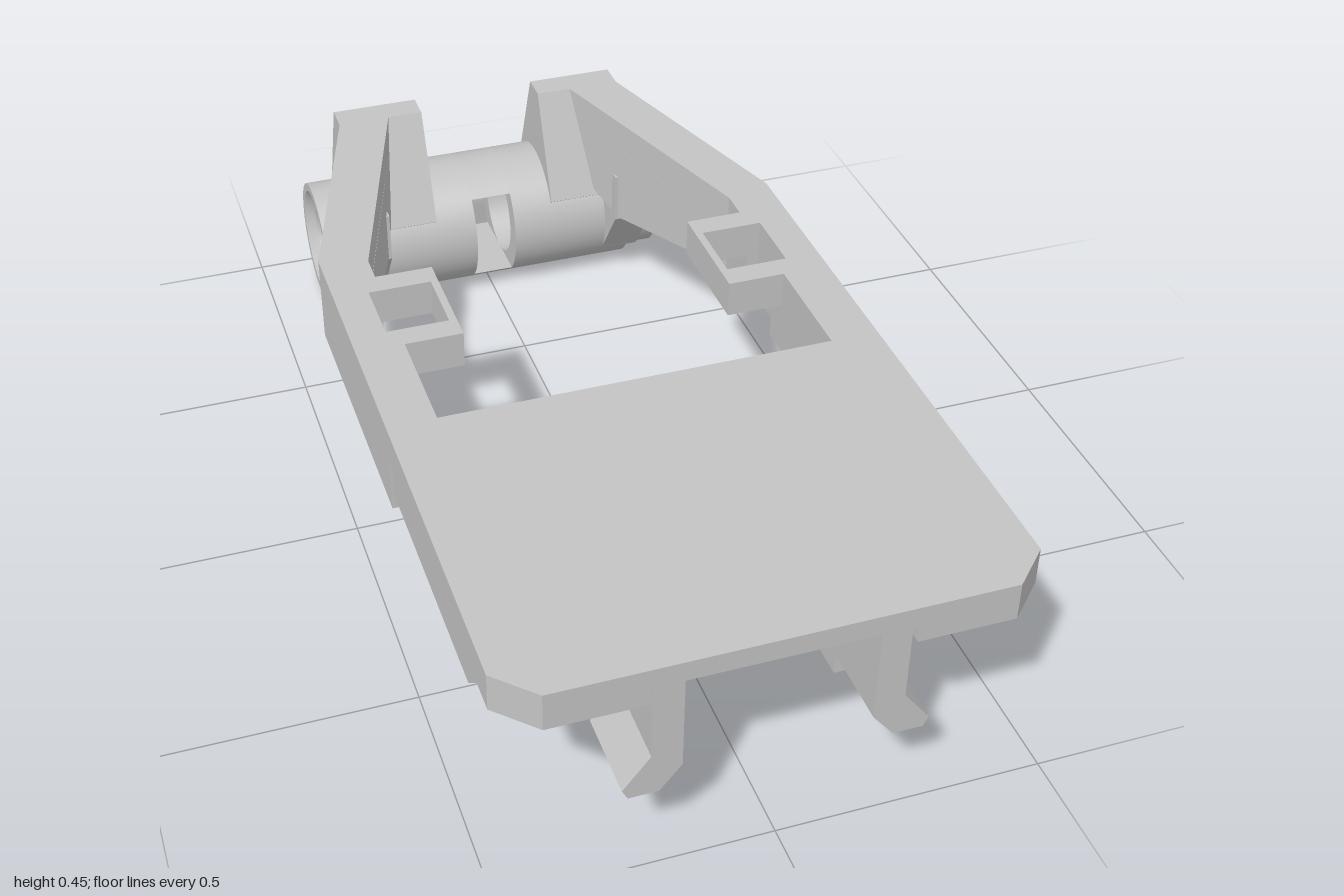
import * as THREE from 'three';
import { toCreasedNormals } from 'three/addons/utils/BufferGeometryUtils.js';

const AXIS_Y = 0.144, AXIS_Z = -0.856, BARREL_R = 0.144;

export function createModel() {
  const model = new THREE.Group();
  const grey = new THREE.MeshStandardMaterial({ color: 0xc4c4c4 });
  grey.name = 'plain grey';

  function add(name, geometry) {
    const mesh = new THREE.Mesh(geometry, grey);
    mesh.name = name;
    model.add(mesh);
  }
  function box(name, x0, x1, y0, y1, z0, z1) {
    add(name, new THREE.BoxGeometry(x1 - x0, y1 - y0, z1 - z0)
      .translate((x0 + x1) / 2, (y0 + y1) / 2, (z0 + z1) / 2));
  }
  const shapeOf = pts => new THREE.Shape(pts.map(p => new THREE.Vector2(p[0], p[1])));
  const extrude = (shape, depth) => new THREE.ExtrudeGeometry(shape, { depth, bevelEnabled: false });
  // profile in (z, y), swept from x0 to x1
  function sideProfile(name, shape, x0, x1) {
    const g = extrude(shape, x1 - x0).rotateY(-Math.PI / 2).translate(x1, 0, 0);
    add(name, toCreasedNormals(g, 0.5));
  }
  // plan in (x, -z), swept from y0 to y1
  function plan(name, shape, y0, y1) {
    add(name, extrude(shape, y1 - y0).rotateX(-Math.PI / 2).translate(0, y0, 0));
  }
  // mirrored plan outline from its +x half in (x, z)
  const mirrored = half => shapeOf(half.concat(half.slice().reverse().map(([x, z]) => [-x, z])).map(([x, z]) => [x, -z]));
  // points on a circle about the hinge axis, in (z, y)
  function hingeArc(r, a0, a1, n = 12) {
    return Array.from({ length: n + 1 }, (_, i) => {
      const a = a0 + (a1 - a0) * i / n;
      return [AXIS_Z + r * Math.cos(a), AXIS_Y + r * Math.sin(a)];
    });
  }
  // range on the chosen side of the model
  const span = (s, a, b) => s > 0 ? [a, b] : [-b, -a];

  // Upper frame: front plate, rails, square brackets and converging arms
  const half = [[0.41, 1], [0.48, 0.93], [0.48, -0.3], [0.32, -0.82], [0.32, -0.88], [0.21, -0.88], [0.21, -0.82],
    [0.385, -0.27], [0.385, -0.21], [0.27, -0.21], [0.27, 0.03], [0.385, 0.03], [0.385, 0.27]];
  const pocketEdge = [[0.004, 0.35], [0.23, 0.46], [0.23, 1]];
  function frameLayer(name, outline, y0, y1) {
    const frame = mirrored(outline);
    for (const s of [1, -1]) {
      const [a, b] = span(s, 0.285, 0.41);
      frame.holes.push(new THREE.Path([[a, 0.16], [b, 0.16], [b, 0.02], [a, 0.02]].map(p => new THREE.Vector2(...p))));
    }
    plan(name, frame, y0, y1);
  }
  frameLayer('topFrame', half, 0.41, 0.45);
  // The lower layer leaves a pocket open to the front
  frameLayer('lowerFrame', [...pocketEdge, ...half], 0.375, 0.41);

  // Arrow-shaped wall around the pocket, and the round boss inside it
  plan('pocketWall', mirrored([[0.004, 0.35], [0.23, 0.46], [0.23, 0.79], [0.29, 0.79], [0.29, 0.43], [0.004, 0.28]]),
    0.24, 0.38);
  add('roundBoss', new THREE.CylinderGeometry(0.14, 0.14, 0.02, 40).translate(0, 0.401, 0.68));

  for (const s of [1, -1]) {
    // Side rails, notched beside the brackets
    box('sideRail', ...span(s, 0.41, 0.48), 0.27, 0.38, -0.3, 0.28);
    box('railInnerFront', ...span(s, 0.385, 0.41), 0.27, 0.38, -0.02, 0.28);
    box('railInnerRear', ...span(s, 0.385, 0.41), 0.27, 0.38, -0.3, -0.16);
    box('railNub', ...span(s, 0.39, 0.44), 0.25, 0.28, -0.3, -0.28);

    // Raised strip under the edge of the front plate
    sideProfile('edgeStrip', shapeOf([[0.27, 0.3], [0.79, 0.3], [0.87, 0.376], [0.27, 0.376]]),
      ...span(s, 0.41, 0.475));

    // Lower part of the converging arm: z, inner x, outer x, bottom y
    const sections = [[-0.27, 0.385, 0.48, 0.27], [-0.3, 0.375, 0.48, 0.27], [-0.64, 0.267, 0.375, 0.205],
      [-0.82, 0.21, 0.32, 0.26], [-0.88, 0.21, 0.32, 0.265]];
    const n = sections.length - 1;
    const g = new THREE.BoxGeometry(1, 1, 1, 1, 1, n);
    const p = g.attributes.position;
    for (let i = 0; i < p.count; i++) {
      const [z, inner, outer, y0] = sections[Math.round((0.5 - p.getZ(i)) * n)];
      const [x0, x1] = span(s, inner, outer);
      p.setXYZ(i, p.getX(i) < 0 ? x0 : x1, p.getY(i) < 0 ? y0 : 0.38, z);
    }
    const arm = g.toNonIndexed();
    arm.computeVertexNormals();
    add('arm', arm);

    // Sloping post that joins the arm to the hinge barrel
    sideProfile('hingePost', shapeOf([[-0.88, 0.45], [-0.82, 0.45], [-0.725, 0.22],
      ...hingeArc(0.12, 0.5, Math.PI - 0.2), [-0.997, 0.17]]), ...span(s, 0.135, 0.32));
    // Fairing between arm underside and barrel, tangent to the barrel
    sideProfile('hingeFairing', shapeOf([[-0.8, 0.31], [-0.64, 0.31], [-0.64, 0.2],
      ...hingeArc(0.143, -0.616, -0.6, 1), ...hingeArc(0.125, -0.6, 1.2)]), ...span(s, 0.26, 0.345));

    // Hinge barrel with stepped, bevelled end
    const profile = [[0.1, 0.045], [BARREL_R, 0.045], [BARREL_R, 0.32], [0.13, 0.32], [0.13, 0.39], [0.112, 0.39],
      [0.09, 0.37], [0.09, 0.3], [0.1, 0.3], [0.1, 0.045]].map(q => new THREE.Vector2(...q));
    add('hingeBarrel', toCreasedNormals(new THREE.LatheGeometry(profile, 48), 0.5)
      .rotateZ(-s * Math.PI / 2).translate(0, AXIS_Y, AXIS_Z));

    // Flat-cut bridge above and below the central slot
    const mid = s * Math.PI / 2, w = 0.8;
    sideProfile('slotBridge', shapeOf(hingeArc(BARREL_R, mid - w, mid + w)), -0.046, 0.046);

    // Front clip leg with an outward-kicked foot, and the short foot behind it
    const foot = shapeOf([[0.17, 0.412], [0.225, 0.412], [0.225, 0.245], [0.275, 0.18], [0.265, 0.16], [0.21, 0.16],
      [0.17, 0.21]].map(([x, y]) => [s * x, y]));
    add('clipFoot', extrude(foot, 0.17).translate(0, 0, 0.82));
    box('rearClipFoot', ...span(s, 0.17, 0.24), 0.165, 0.26, 0.66, 0.83);
  }

  return model;
}
